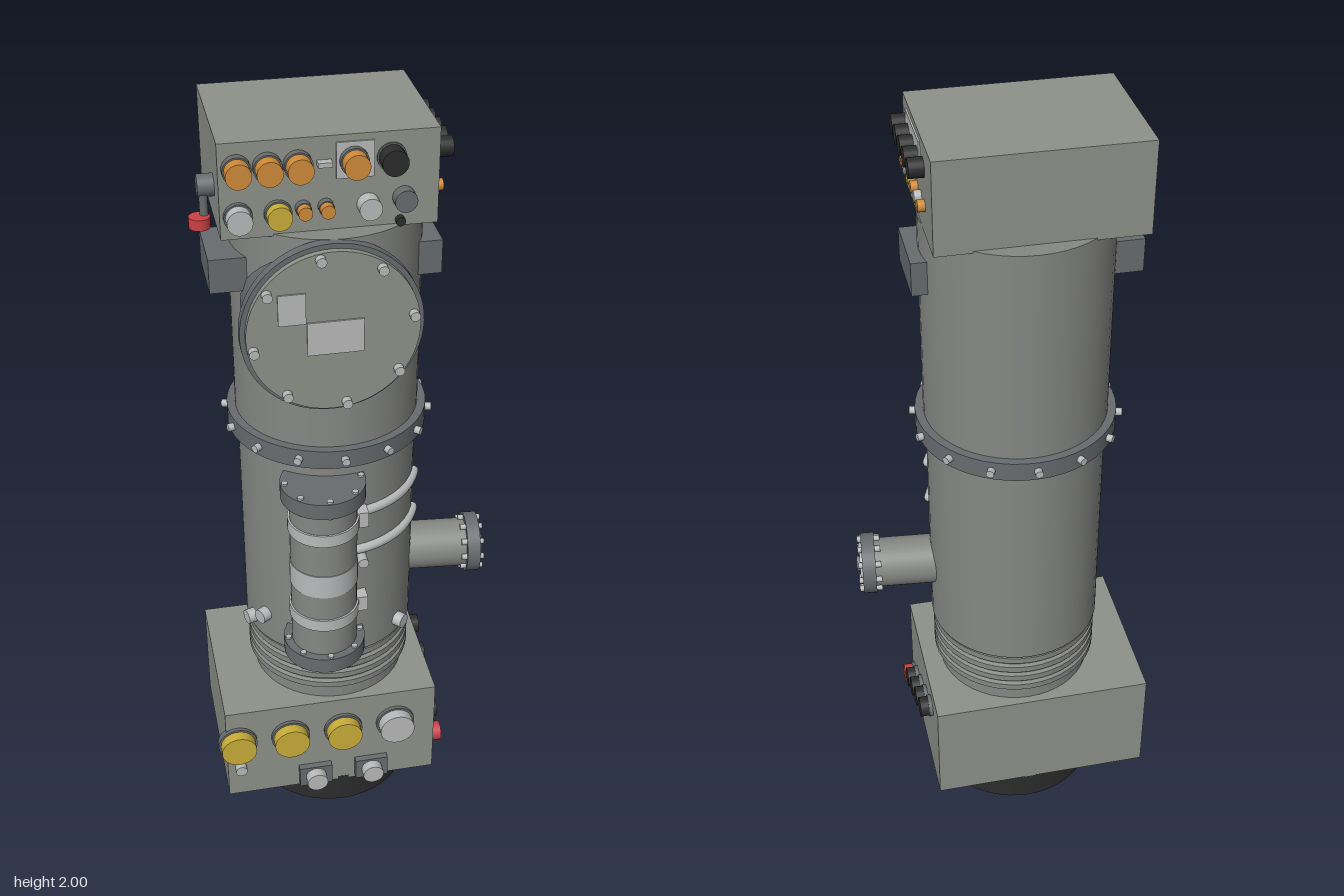
import * as THREE from 'three';

const mat = (name, color) => Object.assign(new THREE.MeshStandardMaterial({ color }), { name });
const M = {
  panel: mat('panelGrey', 0x8e918a), body: mat('bodyGrey', 0x868884), dark: mat('darkGrey', 0x686c6e),
  light: mat('lightGrey', 0xb9babb), black: mat('black', 0x2c2c2c), yellow: mat('yellow', 0xc9ad38),
  orange: mat('orange', 0xd08b3a), red: mat('red', 0xcb4145),
};
const CX = -0.039, CZ = -0.04; // column axis

function add(parent, name, geo, m, x = 0, y = 0, z = 0) {
  const mesh = new THREE.Mesh(geo, m);
  mesh.name = name;
  mesh.position.set(x, y, z);
  parent.add(mesh);
  return mesh;
}
// box given by its limits
const box = (p, name, m, x0, x1, y0, y1, z0, z1) =>
  add(p, name, new THREE.BoxGeometry(x1 - x0, y1 - y0, z1 - z0), m, (x0 + x1) / 2, (y0 + y1) / 2, (z0 + z1) / 2);
// upright cylinder from y0 to y1
const post = (p, name, m, r, y0, y1, x = 0, z = 0, seg = 48) =>
  add(p, name, new THREE.CylinderGeometry(r, r, y1 - y0, seg), m, x, (y0 + y1) / 2, z);
// disc pointing along local +z, from z0 to z1
const disc = (p, name, m, r, x, y, z0, z1, seg = 24) =>
  add(p, name, new THREE.CylinderGeometry(r, r, z1 - z0, seg).rotateX(Math.PI / 2), m, x, y, (z0 + z1) / 2);
function group(parent, name, x = 0, y = 0, z = 0, ry = 0) {
  const g = new THREE.Group();
  g.name = name;
  g.position.set(x, y, z);
  g.rotation.y = ry;
  parent.add(g);
  return g;
}
// group at the column axis whose local +z points at angle a (0 = +x, 90 = +z)
const radial = (p, name, y, a) => group(p, name, CX, y, CZ, Math.PI / 2 - THREE.MathUtils.degToRad(a));
// knob with a darker collar
function knob(p, name, m, r, x, y, collar, depth) {
  disc(p, name + 'Collar', M.dark, r * 1.12, x, y, -0.01, collar);
  disc(p, name, m, r, x, y, collar, depth);
}

function buildColumn(root) {
  const g = group(root, 'column', CX, 0, CZ);
  post(g, 'foot', M.black, 0.226, 0, 0.09);
  post(g, 'lowerBody', M.body, 0.226, 0.56, 1.19);
  post(g, 'upperBody', M.body, 0.231, 1.22, 1.78);
  // ribbed bellows
  const pts = [[0, 0.38], [0.207, 0.38], [0.207, 0.43]];
  for (let i = 0; i < 4; i++) {
    const y = 0.43 + i * 0.033;
    pts.push([0.212, y], [0.222, y + 0.004], [0.222, y + 0.022], [0.212, y + 0.026]);
  }
  pts.push([0.212, 0.565], [0, 0.565]);
  const profile = pts.map(p => new THREE.Vector2(...p));
  const bellows = new THREE.LatheGeometry(profile, 48).toNonIndexed();
  bellows.computeVertexNormals();
  add(g, 'bellows', bellows, M.body);
  // bolted joint
  post(g, 'jointFlange', M.dark, 0.252, 1.18, 1.23);
  for (let i = 0; i < 14; i++) {
    const r = radial(root, 'jointBolt', 1.205, 90 + i * 360 / 14);
    disc(r, 'bolt', M.light, 0.01, 0, 0, 0.245, 0.267, 12);
  }
  // small bosses near the foot of the body
  for (const [a, y] of [[45, 0.6], [147, 0.645], [162, 0.6]])
    disc(radial(root, 'boss', y, a), 'bossCap', M.light, 0.02, 0, 0, 0.215, 0.25, 16);
  // side boxes
  box(root, 'sideBoxRight', M.dark, -0.33, -0.24, 1.61, 1.695, -0.103, 0.07);
  box(root, 'sideBoxLeft', M.dark, 0.16, 0.221, 1.61, 1.695, -0.103, 0.07);
  // curved rails round the body
  for (const y of [1.022, 0.905]) {
    const rail = group(root, 'rail', CX, y, CZ);
    const a0 = 0.33, a1 = 1.45, R = 0.228;
    add(rail, 'railArc', new THREE.TorusGeometry(R, 0.013, 10, 32, a1 - a0).rotateZ(a0).rotateX(Math.PI / 2), M.light);
    for (const a of [a0, a1])
      add(rail, 'railEnd', new THREE.SphereGeometry(0.013, 12, 8), M.light, R * Math.cos(a), 0, R * Math.sin(a));
  }
}

function buildHatch(root) {
  const g = group(root, 'hatch', -0.068, 1.566, 0);
  disc(g, 'hatchNeck', M.dark, 0.19, 0, 0, 0.05, 0.185, 48);
  disc(g, 'hatchRim', M.dark, 0.214, 0, 0, 0.183, 0.209, 64);
  disc(g, 'hatchCover', M.panel, 0.202, 0, 0, 0.2, 0.225, 64);
  box(g, 'smallLabel', M.light, -0.128, -0.064, 0.03, 0.107, 0.224, 0.229);
  box(g, 'largeLabel', M.light, -0.062, 0.07, -0.053, 0.031, 0.224, 0.229);
  for (let i = 0; i < 8; i++) {
    const a = (9 + i * 45) * Math.PI / 180;
    disc(g, 'hatchBolt', M.light, 0.012, 0.188 * Math.cos(a), 0.188 * Math.sin(a), 0.22, 0.243, 12);
  }
}

function buildFrontTube(root) {
  const g = group(root, 'frontTube', -0.092, 0, 0.197);
  post(g, 'tube', M.body, 0.085, 0.62, 1.12);
  for (const y of [0.605, 1.098]) {
    post(g, 'tubeFlange', M.dark, 0.106, y, y + 0.043);
    for (let i = 0; i < 8; i++) {
      const a = i * Math.PI / 4;
      post(g, 'tubeBolt', M.light, 0.008, y - 0.005, y + 0.048, 0.095 * Math.cos(a), 0.095 * Math.sin(a), 10);
    }
  }
  post(g, 'middleBand', M.light, 0.087, 0.838, 0.905);
  for (const y of [1.018, 0.748]) {
    post(g, 'clamp', M.light, 0.09, y - 0.017, y + 0.017);
    box(g, 'clampLug', M.light, 0.08, 0.112, y - 0.022, y + 0.022, -0.025, 0.02);
  }
  disc(g, 'bandScrew', M.light, 0.014, 0.1, 0.88, -0.04, 0.02, 12);
}

function buildPort(root) {
  const g = radial(root, 'sidePort', 0.737, 5.5);
  disc(g, 'portPipe', M.body, 0.066, 0, 0, 0.18, 0.385, 40);
  disc(g, 'portFlange', M.dark, 0.081, 0, 0, 0.375, 0.41, 40);
  disc(g, 'portFace', M.light, 0.056, 0, 0, 0.4, 0.416, 40);
  disc(g, 'portHub', M.body, 0.02, 0, 0, 0.41, 0.424);
  for (let i = 0; i < 10; i++) {
    const a = i * Math.PI / 5;
    disc(g, 'portBolt', M.light, 0.008, 0.069 * Math.cos(a), 0.069 * Math.sin(a), 0.36, 0.42, 10);
  }
}

function buildBaseBox(root) {
  box(root, 'baseBox', M.panel, -0.366, 0.221, 0.082, 0.387, -0.268, 0.185);
  const f = group(root, 'baseFrontControls', 0, 0, 0.185);
  [-0.335, -0.188, -0.04, 0.108].forEach((x, i) =>
    knob(f, 'baseKnob', i < 3 ? M.yellow : M.light, 0.048, x, 0.281, 0.01, 0.039));
  for (const x of [-0.12, 0.04]) {
    box(f, 'switchPlate', M.dark, x - 0.046, x + 0.046, 0.092, 0.158, -0.01, 0.018);
    disc(f, 'switchButton', M.light, 0.029, x, 0.124, 0.018, 0.045);
  }
  disc(f, 'smallButton', M.light, 0.016, -0.33, 0.185, -0.01, 0.02, 16);
  // diagonal row on the side
  const s = group(root, 'baseSideControls', 0.221, 0, 0, Math.PI / 2);
  [0.13, 0.075, -0.003, -0.082, -0.162].forEach((z, i) =>
    knob(s, 'sideKnob', i ? M.black : M.red, 0.027, -z, 0.162 + i * 0.04, 0.01, 0.033));
}

function buildHead(root) {
  box(root, 'headBox', M.panel, -0.305, 0.188, 1.775, 2, -0.224, 0.137);
  // front controls
  const f = group(root, 'headFrontControls', 0, 0, 0.137);
  box(f, 'knobPlate', M.light, -0.045, 0.04, 1.9, 1.984, -0.002, 0.004);
  for (const x of [-0.265, -0.197, -0.13, -0.006]) knob(f, 'orangeKnob', M.orange, 0.029, x, 1.941, 0.018, 0.048);
  knob(f, 'blackKnob', M.black, 0.03, 0.079, 1.941, 0.005, 0.042);
  box(f, 'smallSwitch', M.light, -0.088, -0.056, 1.935, 1.946, -0.01, 0.02);
  knob(f, 'whiteKnob', M.light, 0.029, -0.265, 1.83, 0.012, 0.04);
  knob(f, 'yellowKnob', M.yellow, 0.028, -0.176, 1.83, 0.012, 0.036);
  for (const x of [-0.12, -0.069]) knob(f, 'smallOrangeKnob', M.orange, 0.016, x, 1.838, 0.018, 0.038);
  disc(f, 'whiteButton', M.light, 0.026, 0.027, 1.834, -0.01, 0.035);
  disc(f, 'greyButton', M.dark, 0.026, 0.108, 1.844, -0.01, 0.03);
  disc(f, 'blackButton', M.black, 0.011, 0.1, 1.79, -0.01, 0.015, 16);
  // side controls
  const s = group(root, 'headSideControls', 0.188, 0, 0, Math.PI / 2);
  box(s, 'sidePlate', M.light, -0.083, 0.09, 1.902, 1.984, -0.002, 0.004);
  for (let i = 0; i < 5; i++) disc(s, 'sideBlackKnob', M.black, 0.023, -0.102 + i * 0.056, 1.94, -0.01, 0.035);
  [M.orange, M.light, M.yellow, M.orange, M.light, M.orange].forEach((m, i) =>
    disc(s, 'sideLamp', m, 0.014, -0.102 + i * 0.0455, 1.85, -0.01, 0.017, 16));
  // fittings on the other side
  const o = group(root, 'headOtherSide', -0.305, 0, 0, -Math.PI / 2);
  disc(o, 'sideConnector', M.dark, 0.026, 0.037, 1.865, -0.01, 0.038);
  post(root, 'redButtonStem', M.dark, 0.01, 1.795, 1.85, -0.33, 0.05, 12);
  post(root, 'redButton', M.red, 0.025, 1.775, 1.801, -0.342, 0.058, 24);
}

export function createModel() {
  const root = new THREE.Group();
  root.name = 'instrumentColumn';
  buildColumn(root);
  buildHatch(root);
  buildFrontTube(root);
  buildPort(root);
  buildBaseBox(root);
  buildHead(root);
  return root;
}
